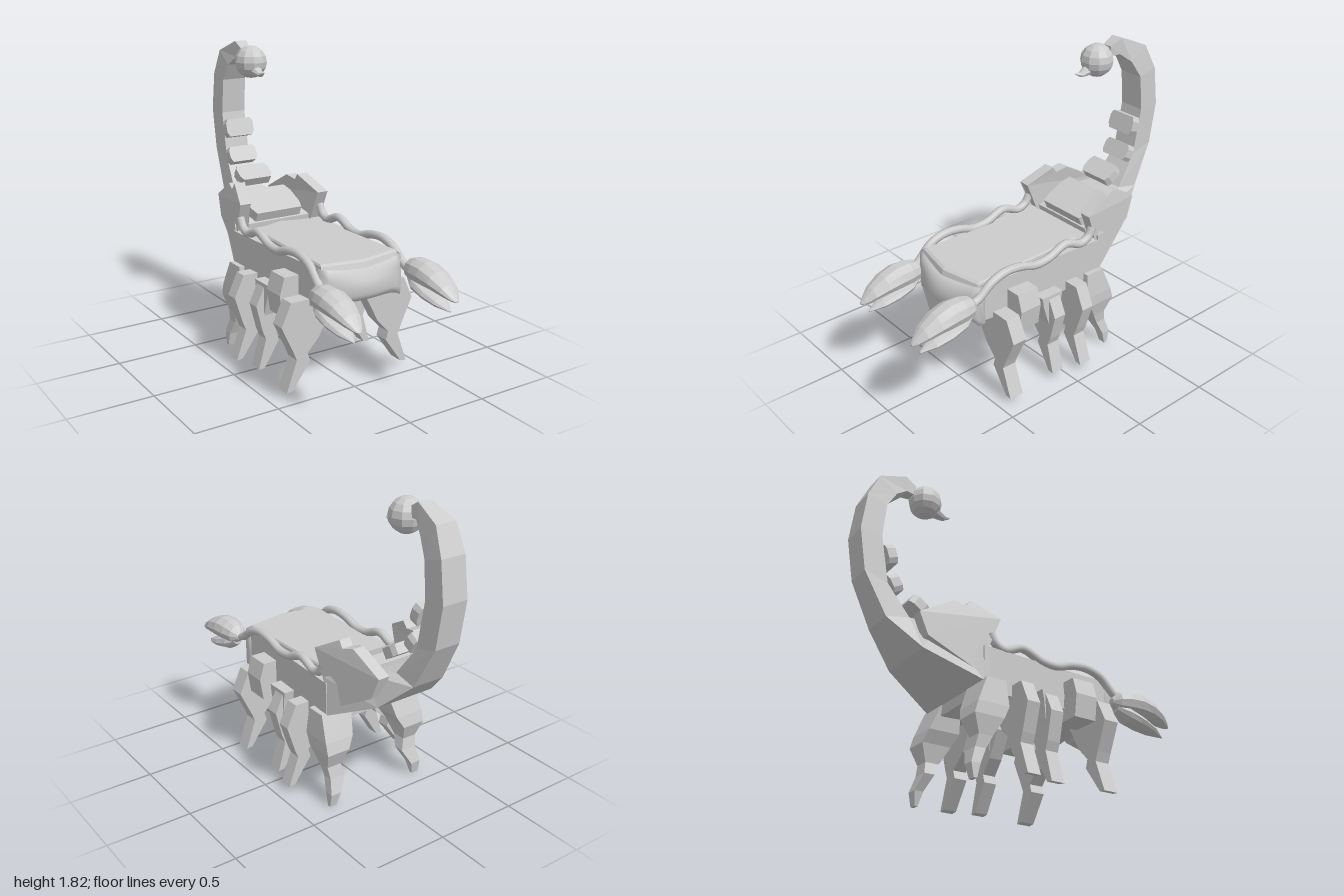
import * as THREE from 'three';
import { mergeVertices } from 'three/addons/utils/BufferGeometryUtils.js';

const flat = new THREE.MeshStandardMaterial({ color: 0xcccccc, flatShading: true });
const smooth = new THREE.MeshStandardMaterial({ color: 0xcccccc });

// Skin a list of equal-length rings of [x, y, z], cap both ends, face outwards
function loft(rings) {
  const n = rings[0].length, p = rings.flat(), tris = [];
  for (let i = 0; i < rings.length - 1; i++) {
    for (let j = 0; j < n; j++) {
      const a = i * n + j, b = i * n + (j + 1) % n;
      tris.push([a, b, b + n], [a, b + n, a + n]);
    }
  }
  const last = (rings.length - 1) * n;
  for (let j = 1; j < n - 1; j++) tris.push([0, j + 1, j], [last, last + j, last + j + 1]);
  let volume = 0;
  const v = p.map((q) => new THREE.Vector3(...q));
  for (const [a, b, c] of tris) volume += v[a].dot(v[b].clone().cross(v[c]));
  if (volume < 0) tris.forEach((t) => t.reverse());
  const geo = new THREE.BufferGeometry();
  geo.setAttribute('position', new THREE.Float32BufferAttribute(tris.flat().flatMap((k) => p[k]), 3));
  geo.computeVertexNormals();
  return geo;
}

// Shared normals for a rounded surface
function soften(geo) {
  geo.deleteAttribute('normal');
  const merged = mergeVertices(geo);
  merged.computeVertexNormals();
  return merged;
}

// Slab with an (x, y) outline running between two z values
function slabZ(outline, z0, z1) {
  const shape = new THREE.Shape(outline.map(([x, y]) => new THREE.Vector2(x, y)));
  return new THREE.ExtrudeGeometry(shape, { depth: z1 - z0, bevelEnabled: false }).translate(0, 0, z0);
}

// Rounded horn: stations are [z, y, rx, ry] about a given x
const horn = (x, stations, sides = 10) => loft(stations.map(([z, y, rx, ry]) =>
  Array.from({ length: sides }, (_, i) => {
    const a = (i / sides) * Math.PI * 2;
    return [x + rx * Math.cos(a), y + ry * Math.sin(a), z];
  })));

export function createModel() {
  const model = new THREE.Group();
  const add = (name, geo, mat = flat, parent = model) => {
    const mesh = new THREE.Mesh(geo, mat);
    mesh.name = name;
    parent.add(mesh);
    return mesh;
  };

  // Body block, wider and deeper at the rear
  add('body', loft([[-0.34, 0.3, 0.49, 0.75], [-0.3, 0.3, 0.49, 0.75], [0.54, 0.26, 0.53, 0.75]]
    .map(([z, w, lo, hi]) => [[-w, lo, z], [w, lo, z], [w, hi, z], [-w, hi, z]])));

  // Bowed face, swept from side to side
  const noseRings = [];
  for (let i = 0; i <= 12; i++) {
    const t = i / 6 - 1, x = 0.27 * t, bulge = 1 - Math.abs(t) ** 1.8;
    const lo = 0.56 - 0.045 * t ** 4, hi = 0.735 + 0.02 * t * t;
    noseRings.push([[x, lo, 0.5], [x, hi, 0.5], [x, hi, 0.54 + 0.05 * bulge],
      [x, hi - 0.06, 0.55 + 0.08 * bulge], [x, lo + 0.04, 0.55 + 0.09 * bulge], [x, lo, 0.545 + 0.06 * bulge]]);
  }
  add('face', soften(loft(noseRings)), smooth);

  // Back plate
  const plate = [[-0.25, 0.53], [0, 0.58], [0.25, 0.53], [0.22, -0.23], [0, -0.3], [-0.22, -0.23]];
  add('backPlate', loft([[0.73, 1.02], [0.765, 1], [0.775, 0.97]]
    .map(([y, s]) => plate.map(([x, z]) => [x * s, y, z * s]))));

  // Tail: rectangular sections [inner z, inner y, outer z, outer y, half width]
  const tail = [
    [-0.32, 0.78, -0.34, 0.55, 0.3], [-0.55, 0.86, -0.65, 0.7, 0.19],
    [-0.69, 0.9, -0.83, 0.87, 0.1], [-0.82, 1.08, -0.96, 1.12, 0.08],
    [-0.87, 1.36, -1.0, 1.37, 0.08], [-0.85, 1.57, -0.97, 1.6, 0.078],
    [-0.79, 1.67, -0.9, 1.75, 0.065], [-0.72, 1.725, -0.73, 1.82, 0.04],
    [-0.665, 1.72, -0.66, 1.78, 0.03],
  ];
  add('tail', loft(tail.map(([zi, yi, zo, yo, w], i) => {
    const c = i > 5 ? -0.007 * (i - 5) : 0;
    return [[c - w, yi, zi], [c + w, yi, zi], [c + w, yo, zo], [c - w, yo, zo]];
  })));

  // Stinger bulb and barb
  add('stingerBulb', new THREE.SphereGeometry(0.098, 10, 8)).position.set(-0.027, 1.708, -0.585);
  add('stingerBarb', horn(-0.03, [[-0.54, 1.675, 0.045, 0.04], [-0.49, 1.655, 0.03, 0.026],
    [-0.46, 1.645, 0.02, 0.015], [-0.42, 1.658, 0.003, 0.003]], 8));

  // Chamfered plates inside the tail: [y, z, width, height, depth, tilt]
  [[0.86, -0.42, 0.34, 0.06, 0.23, 0.42], [0.995, -0.63, 0.22, 0.06, 0.12, 0.6],
    [1.095, -0.775, 0.19, 0.06, 0.1, 1.05], [1.265, -0.81, 0.19, 0.055, 0.11, 1.25]]
    .forEach(([y, z, w, h, d, tilt]) => {
      const a = w / 2, b = a - 0.015;
      const m = add('tailPlate', loft([[-d / 2, b], [-d / 4, a], [d / 4, a], [d / 2, b]].map(([k, r]) =>
        [[-r, -h / 2, k], [r, -h / 2, k], [r, h / 2, k], [-r, h / 2, k]])));
      m.position.set(0, y, z);
      m.rotation.x = tilt;
    });

  for (const s of [1, -1]) {
    const side = new THREE.Group();
    side.name = s > 0 ? 'leftSide' : 'rightSide';
    model.add(side);
    const flip = (pts) => pts.map(([x, y]) => [s * x, y]);

    // Shoulder guard: a (z, y) outline angled inwards towards the tail and top
    const guard = [[-0.24, 0.93], [-0.4, 1.02], [-0.43, 0.98], [-0.5, 1.0], [-0.69, 0.89],
      [-0.64, 0.76], [-0.36, 0.6], [-0.33, 0.73]];
    add('shoulderGuard', loft([0, 1].map((k) => guard.map(([z, y]) =>
      [s * (0.235 + 0.07 * k + (z + 0.24) * 0.2 - Math.max(0, y - 0.93) * 0.2), y, z]))), flat, side);

    // Three straight legs: [rear z, front z, knee x, ankle x, foot x]
    [[0.35, 0.44, 0.44, 0.345, 0.41], [0.02, 0.1, 0.4, 0.34, 0.39], [-0.16, -0.08, 0.44, 0.37, 0.435]]
      .forEach(([z0, z1, knee, ankle, foot]) => add('leg', slabZ(flip([
        [0.12, 0.48], [0.13, 0.56], [knee - 0.06, 0.56], [knee, 0.43], [ankle + 0.02, 0.27], [ankle, 0.22],
        [foot, 0.04], [foot - 0.04, 0.045], [ankle - 0.085, 0.2], [ankle - 0.07, 0.25], [0.2, 0.33],
      ]), z0, z1), flat, side));

    // Flared hip of the second leg and the block behind the first
    add('hip', loft([[0.56, 0, 0.15], [0.5, 0.01, 0.14], [0.37, 0.02, 0.1]].map(([y, a, b]) =>
      [[s * 0.2, y, a], [s * 0.35, y, a], [s * 0.35, y, b], [s * 0.2, y, b]])), flat, side);
    add('hipBlock', slabZ(flip([[0.2, 0.44], [0.2, 0.67], [0.36, 0.67], [0.39, 0.57], [0.37, 0.44]]),
      0.2, 0.34), flat, side);

    // Twisted rear leg: sections [y, inner x, outer x, rear z, front z]
    add('rearLeg', loft([
      [0.56, 0.13, 0.33, -0.34, -0.22], [0.41, 0.16, 0.345, -0.4, -0.21],
      [0.34, 0.2, 0.345, -0.42, -0.24], [0.24, 0.23, 0.32, -0.38, -0.295],
      [0.17, 0.21, 0.31, -0.395, -0.33], [0.08, 0.26, 0.325, -0.425, -0.37],
      [0, 0.28, 0.325, -0.41, -0.39],
    ].map(([y, a, b, c, d]) => [[s * a, y, c], [s * b, y, c], [s * b, y, d], [s * a, y, d]])), flat, side);

    // Wavy arm along the body edge
    const drop = s > 0 ? 0 : 1;
    const arm = [[-0.29, 0.84], [-0.26, 0.79], [-0.2, 0.765], [-0.08, 0.805], [0.05, 0.76], [0.15, 0.755],
      [0.25, 0.785], [0.36, 0.795], [0.46, 0.765], [0.55, 0.7 - 0.02 * drop], [0.63, 0.67 - 0.05 * drop]];
    const path = new THREE.CatmullRomCurve3(arm.map(([z, y]) => new THREE.Vector3(s * 0.28, y, z)));
    add('arm', new THREE.TubeGeometry(path, 48, 0.025, 8), smooth, side);

    // Claw: broad upper pincer over a slimmer lower one
    const claw = new THREE.Group();
    claw.name = 'claw';
    claw.position.set(0, -0.06 * drop, -0.055 * drop);
    side.add(claw);
    add('upperPincer', horn(s * 0.29, [[0.585, 0.685, 0.02, 0.02], [0.62, 0.69, 0.06, 0.058],
      [0.68, 0.695, 0.08, 0.07], [0.76, 0.695, 0.088, 0.07], [0.85, 0.68, 0.082, 0.055],
      [0.93, 0.65, 0.06, 0.036], [0.98, 0.62, 0.03, 0.016], [1.0, 0.61, 0.01, 0.005]]), flat, claw);
    add('lowerPincer', horn(s * 0.29, [[0.61, 0.65, 0.03, 0.025], [0.68, 0.62, 0.065, 0.045],
      [0.78, 0.59, 0.068, 0.036], [0.87, 0.565, 0.05, 0.025], [0.95, 0.54, 0.006, 0.004]]), flat, claw);
  }
  return model;
}
